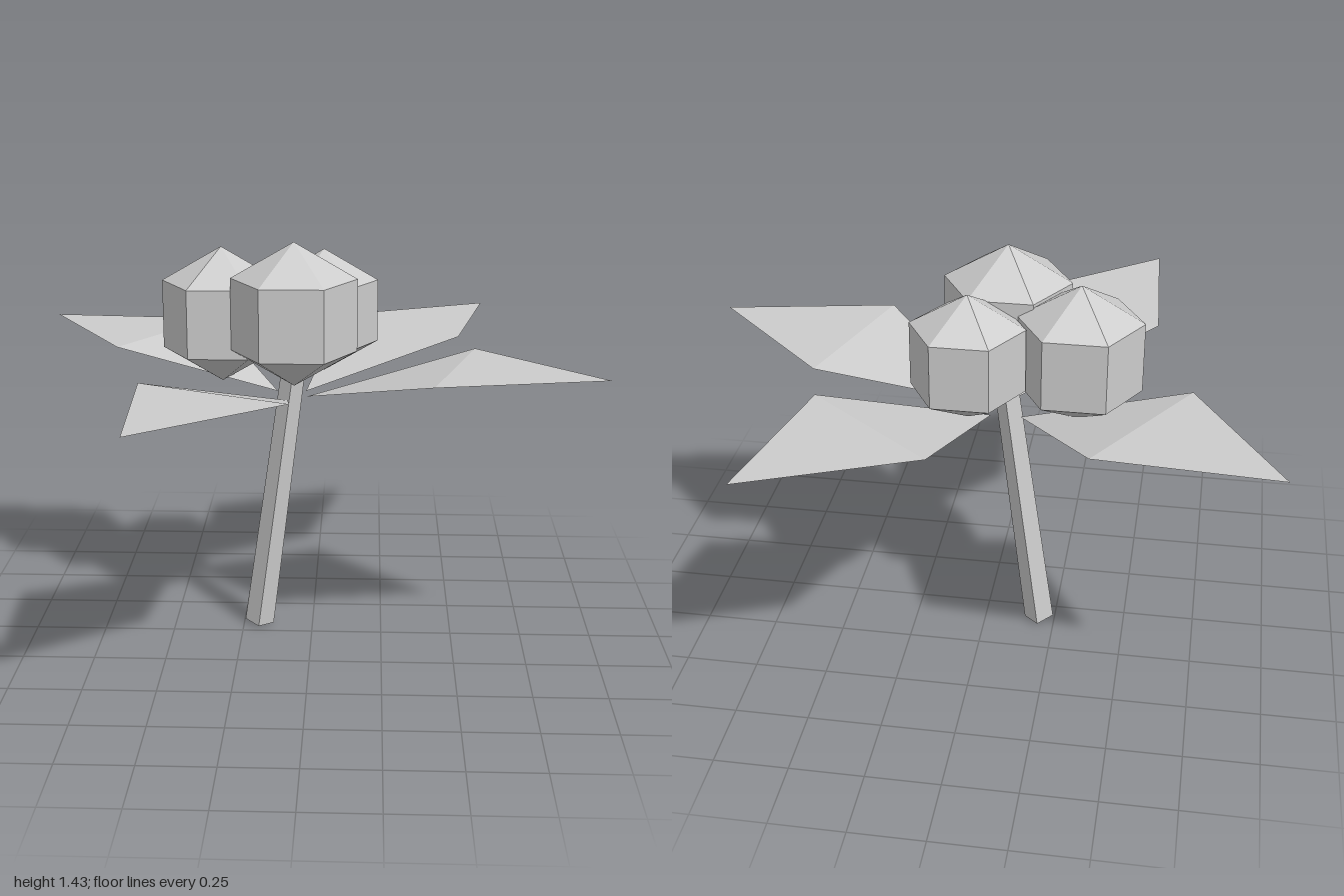
import * as THREE from 'three';

export function createModel() {
  const group = new THREE.Group();
  const grey = new THREE.MeshStandardMaterial({ color: 0xcccccc, flatShading: true, side: THREE.DoubleSide });
  grey.name = 'grey';

  const add = (geometry, name) => {
    const mesh = new THREE.Mesh(geometry, grey);
    mesh.name = name;
    group.add(mesh);
    return mesh;
  };

  // Leaning, slightly tapered four-sided stem
  const foot = new THREE.Vector3(-0.194, 0.01, -0.073);
  const top = new THREE.Vector3(-0.062, 1.0, -0.073);
  const axis = top.clone().sub(foot);
  const stem = add(new THREE.CylinderGeometry(0.041, 0.052, axis.length(), 4), 'stem');
  stem.position.copy(foot).add(top).multiplyScalar(0.5);
  stem.rotation.z = -Math.atan2(axis.x, axis.y);

  // Faceted berries: x, y, z, radius
  [
    [-0.06, 1.18, 0.02, 0.249],
    [-0.322, 1.14, -0.16, 0.24],
    [0.035, 1.14, -0.24, 0.22],
  ].forEach(([x, y, z, r], i) => {
    add(new THREE.SphereGeometry(r, 6, 3), 'berry' + (i + 1)).position.set(x, y, z);
  });

  // Leaves: a rising inner triangle folded into a level outer one
  const baseY = 0.87, rimY = 1.02;
  const leaf = (name, base, sideA, tip, sideB) => {
    const geometry = new THREE.BufferGeometry();
    const points = [[base, baseY], [sideA, rimY], [tip, rimY], [sideB, rimY]];
    const positions = points.flatMap(([[x, z], y]) => [x, y, z]);
    geometry.setAttribute('position', new THREE.Float32BufferAttribute(positions, 3));
    geometry.setIndex([0, 1, 3, 1, 2, 3]);
    const flat = geometry.toNonIndexed();
    flat.computeVertexNormals();
    add(flat, name);
  };
  // Corners are [x, z], counter-clockwise from above
  leaf('frontLeaf', [-0.085, -0.01], [-0.05, 0.56], [-0.52, 0.925], [-0.553, 0.33]);
  leaf('leftLeaf', [-0.02, -0.06], [0.57, -0.175], [0.99, 0.247], [0.407, 0.357]);
  leaf('backLeaf', [-0.025, -0.132], [0.088, -0.7], [0.64, -0.93], [0.52, -0.35]);
  leaf('rightLeaf', [-0.125, -0.13], [-0.695, -0.147], [-1.0, -0.663], [-0.4, -0.62]);
  // Match the corner order so every upper face looks up
  group.children.filter((m) => m.name.endsWith('Leaf')).forEach((m) => {
    const { position, normal } = m.geometry.attributes;
    for (let i = 0; i < position.count; i += 3) {
      if (normal.getY(i) >= 0) continue;
      const a = new THREE.Vector3().fromBufferAttribute(position, i);
      const b = new THREE.Vector3().fromBufferAttribute(position, i + 1);
      position.setXYZ(i, b.x, b.y, b.z);
      position.setXYZ(i + 1, a.x, a.y, a.z);
    }
    m.geometry.computeVertexNormals();
  });

  return group;
}
